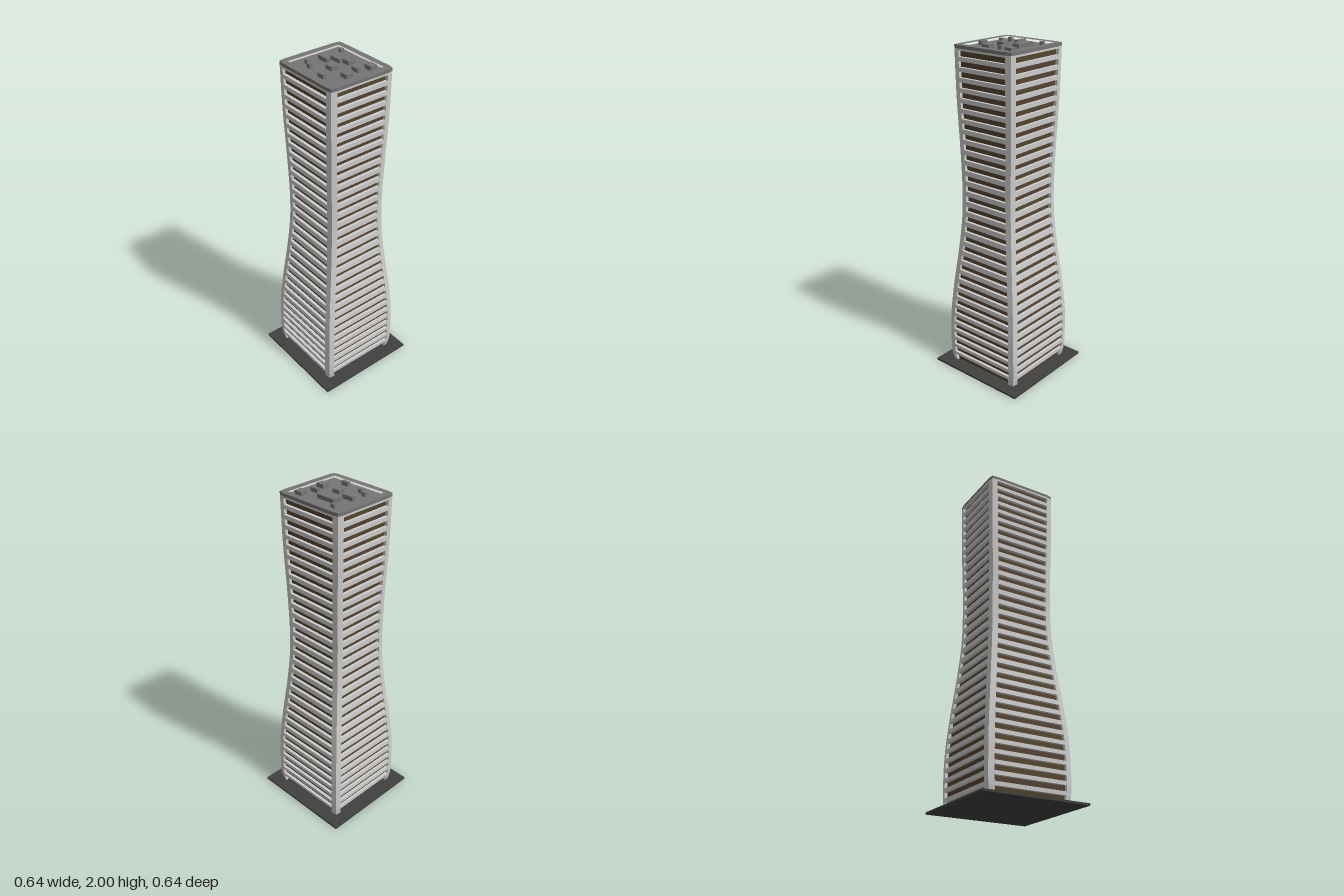
import * as THREE from 'three';

const FLOORS = 33, WINDOW = 0.033, PIER = 0.04, ROOF = 1.985;

// Half widths (x, z) of the waisted tower at a number of heights
const profile = new THREE.CubicInterpolant(
  [0.012, 0.06, 0.2, 0.35, 0.55, 0.8, 1.0, 1.15, 1.4, 1.7, 1.99],
  [0.25, 0.25, 0.258, 0.258, 0.261, 0.26, 0.258, 0.256, 0.243, 0.239, 0.219, 0.21,
    0.205, 0.193, 0.203, 0.189, 0.207, 0.194, 0.217, 0.203, 0.222, 0.206], 2);
const halfWidths = (y) => Array.from(profile.evaluate(y));

const mat = (color) => new THREE.MeshStandardMaterial({ color, flatShading: true });

// Closed loft through convex sections given by section(y) -> [[x, z], ...]
function loft(ys, section) {
  const rings = ys.map((y) => section(y).map(([x, z]) => [x, y, z]));
  const n = rings[0].length, pos = [];
  const tri = (a, b, c) => pos.push(...a, ...b, ...c);
  for (let r = 0; r < rings.length - 1; r++) {
    const p = rings[r], q = rings[r + 1];
    for (let i = 0; i < n; i++) {
      const j = (i + 1) % n;
      tri(p[i], q[i], p[j]);
      tri(p[j], q[i], q[j]);
    }
  }
  const lo = rings[0], hi = rings[rings.length - 1];
  for (let i = 1; i < n - 1; i++) {
    tri(hi[0], hi[i + 1], hi[i]);
    tri(lo[0], lo[i], lo[i + 1]);
  }
  const g = new THREE.BufferGeometry();
  g.setAttribute('position', new THREE.Float32BufferAttribute(pos, 3));
  g.computeVertexNormals();
  return g;
}

// Floor plate outline with its corners hidden inside the piers
function plate(y) {
  const [a, b] = halfWidths(y), c = a - PIER, d = b - PIER;
  return [[a, -d], [a, d], [c, b], [-c, b], [-a, d], [-a, -d], [-c, -b], [c, -b]];
}

// Recessed glazing outline
function glass(y) {
  const [a, b] = halfWidths(y).map((v) => v - 0.018);
  return [[a, -b], [a, b], [-a, b], [-a, -b]];
}

// Corner pier outline, its outer faces turned slightly inward
const pier = (sx, sz) => (y) => {
  const [a, b] = halfWidths(y);
  const pts = [[a, b - PIER], [a - 0.006, b - 0.006], [a - PIER, b], [a - PIER, b - PIER]]
    .map(([x, z]) => [x * sx, z * sz]);
  return sx * sz > 0 ? pts : pts.reverse();
};

// Full roof outline including the corners
function roofOutline(y) {
  const [a, b] = halfWidths(y), c = a - PIER, d = b - PIER, e = a - 0.006, f = b - 0.006;
  return [[a, -d], [a, d], [e, f], [c, b], [-c, b], [-e, f],
    [-a, d], [-a, -d], [-e, -f], [-c, -b], [c, -b], [e, -f]];
}

export function createModel() {
  const model = new THREE.Group();
  const concrete = mat(0xcccccc), roofGrey = mat(0x757575), paving = mat(0x404040);
  const glazing = [mat(0x54452e), mat(0x523f38), mat(0x544232)];
  const add = (name, geometry, material, parent = model) => {
    const mesh = new THREE.Mesh(geometry, material);
    mesh.name = name;
    parent.add(mesh);
    return mesh;
  };
  const group = (name) => {
    const g = new THREE.Group();
    g.name = name;
    model.add(g);
    return g;
  };

  // Ground slab
  add('baseSlab', new THREE.BoxGeometry(0.644, 0.012, 0.644), paving).position.y = 0.006;

  // Storeys: a recessed window strip with a projecting band above; taller at the waist
  const windows = group('windowStrips'), bands = group('floorBands');
  const centre = (i) => {
    const t = i / (FLOORS - 1);
    return 0.037 + 1.908 * (t - 0.0106 * Math.sin(2 * Math.PI * t)) - 0.011 * Math.sin(Math.PI * t);
  };
  for (let i = 0; i < FLOORS; i++) {
    const y0 = i ? centre(i) - WINDOW / 2 : 0.012;
    const y1 = centre(i) + WINDOW / 2;
    const y2 = i < FLOORS - 1 ? centre(i + 1) - WINDOW / 2 : ROOF - 0.012;
    add('windowStrip', loft([y0, y1], glass), glazing[(i * i + i) % 3], windows);
    add('floorBand', loft([y1, y2], plate), concrete, bands);
  }

  // Four corner piers following the curve
  const piers = group('cornerPiers');
  const steps = Array.from({ length: 49 }, (_, i) => 0.012 + (ROOF - 0.024) * i / 48);
  for (const sx of [1, -1]) {
    for (const sz of [1, -1]) add('cornerPier', loft(steps, pier(sx, sz)), concrete, piers);
  }

  // Parapet rim around a sunken roof deck
  const rim = new THREE.Shape(roofOutline(ROOF).map(([x, z]) => new THREE.Vector2(x, -z)));
  const well = [[-0.183, -0.17], [-0.183, 0.17], [0.183, 0.17], [0.183, -0.17]];
  rim.holes.push(new THREE.Path(well.map(([x, z]) => new THREE.Vector2(x, z))));
  const parapet = add('parapet',
    new THREE.ExtrudeGeometry(rim, { depth: 0.018, bevelEnabled: false }), roofGrey);
  parapet.rotation.x = -Math.PI / 2;
  parapet.position.y = ROOF - 0.012;
  add('roofDeck', new THREE.BoxGeometry(0.38, 0.006, 0.35), roofGrey).position.y = ROOF - 0.011;

  // Rooftop plant boxes: x, z, width, depth
  const plant = group('roofPlant');
  const boxes = [
    [-0.122, -0.138, 0.022, 0.021], [0.131, -0.127, 0.047, 0.045],
    [-0.026, -0.081, 0.121, 0.045], [-0.05, -0.048, 0.073, 0.022],
    [0.107, -0.048, 0.048, 0.022], [-0.097, -0.002, 0.071, 0.023],
    [0.011, 0.031, 0.048, 0.045], [0.131, 0.031, 0.047, 0.045],
    [-0.122, 0.088, 0.022, 0.022], [-0.073, 0.111, 0.023, 0.022],
    [0.059, 0.134, 0.048, 0.022],
  ];
  for (const [x, z, w, d] of boxes) {
    add('plantBox', new THREE.BoxGeometry(w, 0.024, d), roofGrey, plant).position.set(x, 1.988, z);
  }
  return model;
}
